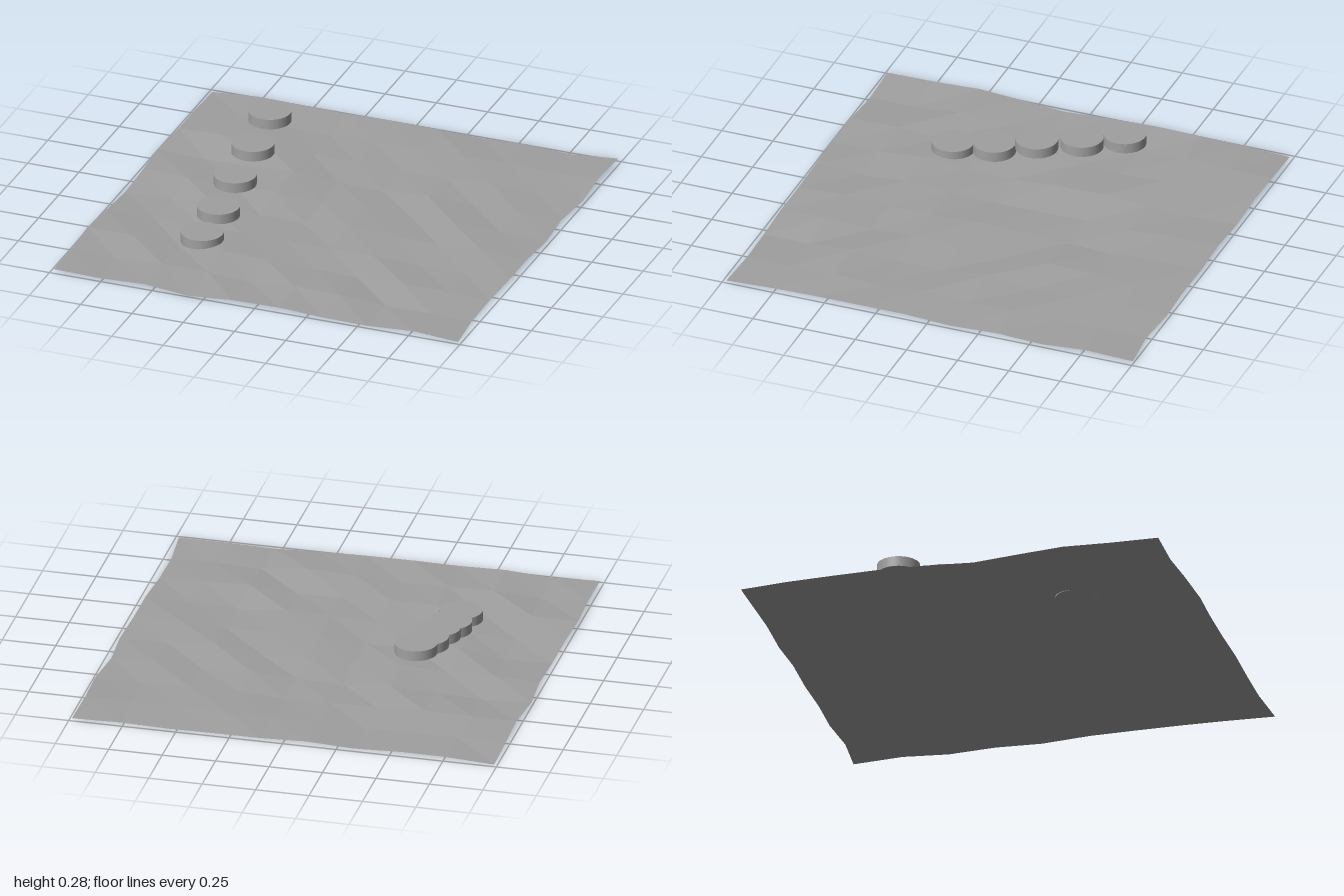
import * as THREE from 'three';

// small seeded generator, returns -1..1
function seeded(seed) {
  let s = seed;
  return () => {
    s = (s * 16807) % 2147483647;
    return (s / 2147483647) * 2 - 1;
  };
}

// uneven outline of the ground sheet, one value per grid vertex
const LEFT_X = [-0.985, -0.985, -0.98, -0.995, -0.98, -0.98, -0.985, -0.995, -0.985, -0.985];
const RIGHT_X = [0.985, 0.98, 0.99, 0.97, 0.985, 0.975, 0.975, 0.965, 0.965, 0.985];
const BACK_Z = [-0.98, -0.985, -0.98, -0.985, -0.98, -0.985, -0.98, -0.99, -0.975, -1];
const FRONT_Z = [0.985, 0.98, 0.985, 1, 0.985, 0.98, 0.985, 0.98, 0.97, 0.985];

function groundGeometry() {
  const n = 9;
  const rand = seeded(4711);
  const pos = [], index = [];
  for (let j = 0; j <= n; j++) {
    for (let i = 0; i <= n; i++) {
      const y = 0.02 + 0.011 * rand();
      let x = THREE.MathUtils.lerp(-0.983, 0.978, i / n) + 0.008 * rand();
      let z = THREE.MathUtils.lerp(-0.983, 0.983, j / n) + 0.008 * rand();
      if (i === 0) x = LEFT_X[j];
      if (i === n) x = RIGHT_X[j];
      if (j === 0) z = BACK_Z[i];
      if (j === n) z = FRONT_Z[i];
      pos.push(x, y, z);
    }
  }
  // every cell is split from back left to front right
  for (let j = 0; j < n; j++) {
    for (let i = 0; i < n; i++) {
      const a = j * (n + 1) + i, b = a + 1, c = a + n + 1, d = c + 1;
      index.push(a, c, d, a, d, b);
    }
  }
  const geo = new THREE.BufferGeometry();
  geo.setAttribute('position', new THREE.Float32BufferAttribute(pos, 3));
  geo.setIndex(index);
  const flat = geo.toNonIndexed();
  flat.computeVertexNormals();
  return flat;
}

export function createModel() {
  const group = new THREE.Group();
  const grey = new THREE.MeshStandardMaterial({ color: 0xa0a0a0, side: THREE.DoubleSide });
  grey.name = 'grey';

  // wavy low-poly ground
  const ground = new THREE.Mesh(groundGeometry(), grey);
  ground.name = 'ground';
  group.add(ground);

  // row of floating round steps, rising toward the back: [centre y, z]
  const stepGeo = new THREE.CylinderGeometry(0.098, 0.098, 0.048, 48);
  const steps = [[0.039, 0.457], [0.079, 0.256], [0.142, 0.049], [0.199, -0.172], [0.264, -0.382]];
  steps.forEach(([y, z], k) => {
    const step = new THREE.Mesh(stepGeo, grey);
    step.name = `step${k + 1}`;
    step.position.set(-0.469, y, z);
    group.add(step);
  });
  return group;
}
